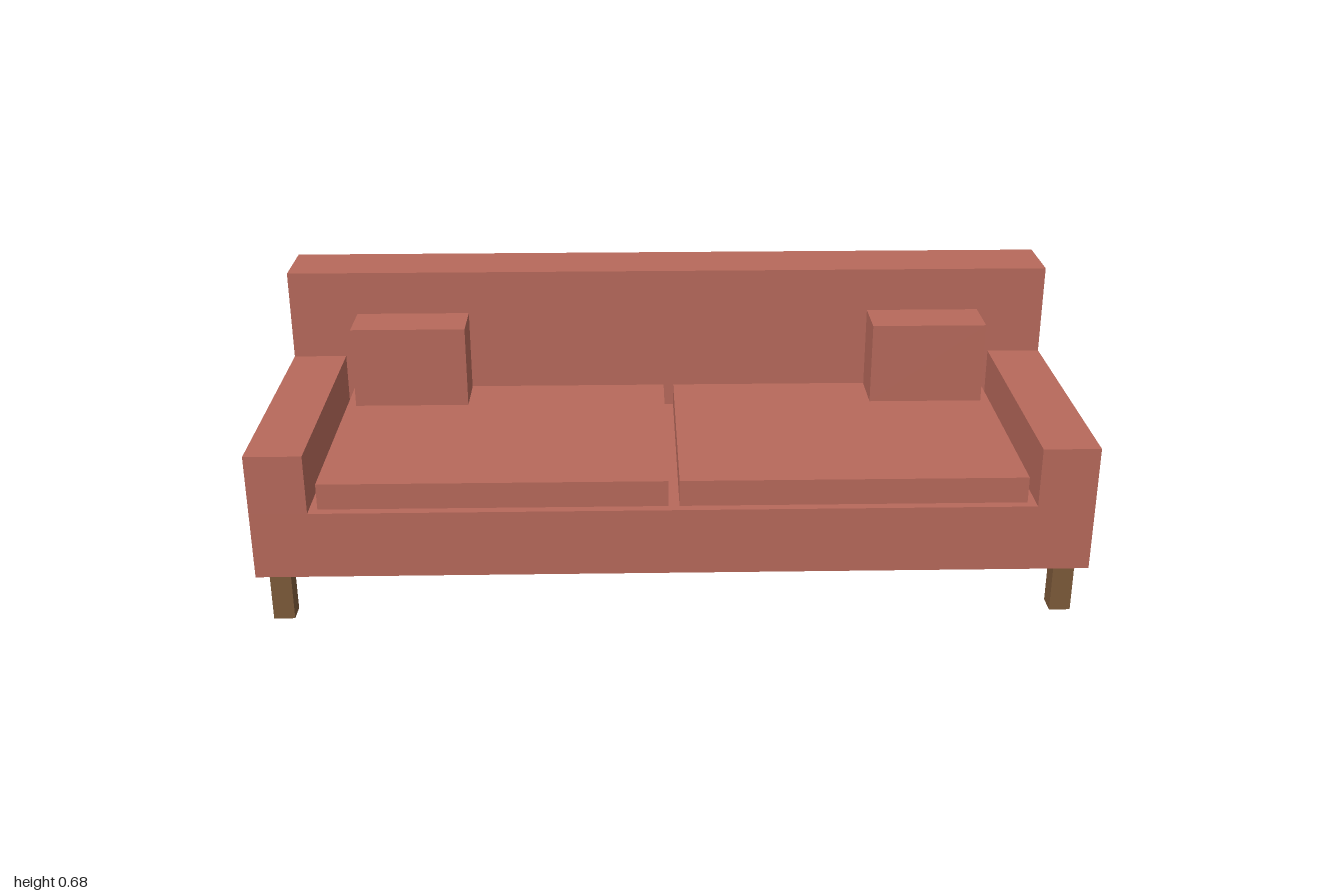
import * as THREE from 'three';

export function createModel() {
  const group = new THREE.Group();
  group.name = 'sofa';

  const fabric = new THREE.MeshStandardMaterial({ color: 0xb7695b });
  fabric.name = 'terracotta fabric';
  const wood = new THREE.MeshStandardMaterial({ color: 0x7d5a3a });
  wood.name = 'brown wood';

  // Box given by its lower and upper limits on each axis
  function box(name, material, [x0, x1], [y0, y1], [z0, z1]) {
    const mesh = new THREE.Mesh(new THREE.BoxGeometry(x1 - x0, y1 - y0, z1 - z0), material);
    mesh.position.set((x0 + x1) / 2, (y0 + y1) / 2, (z0 + z1) / 2);
    mesh.name = name;
    group.add(mesh);
  }

  // Frame
  box('base', fabric, [-1, 1], [0.128, 0.295], [-0.41, 0.41]);
  box('backrest', fabric, [-1, 1], [0.295, 0.675], [-0.41, -0.243]);

  // Parts repeated on both sides
  for (const [side, s] of [['left', 1], ['right', -1]]) {
    const span = (a, b) => (s > 0 ? [a, b] : [-b, -a]);
    box(side + 'Arm', fabric, span(0.863, 1), [0.295, 0.443], [-0.243, 0.41]);
    box(side + 'SeatCushion', fabric, span(0.013, 0.843), [0.295, 0.36], [-0.225, 0.387]);
    box(side + 'Pillow', fabric, span(0.527, 0.82), [0.36, 0.57], [-0.22, -0.094]);
    box(side + 'FrontLeg', wood, span(0.922, 0.973), [0, 0.128], [0.333, 0.384]);
    box(side + 'BackLeg', wood, span(0.922, 0.973), [0, 0.128], [-0.384, -0.333]);
  }

  return group;
}
